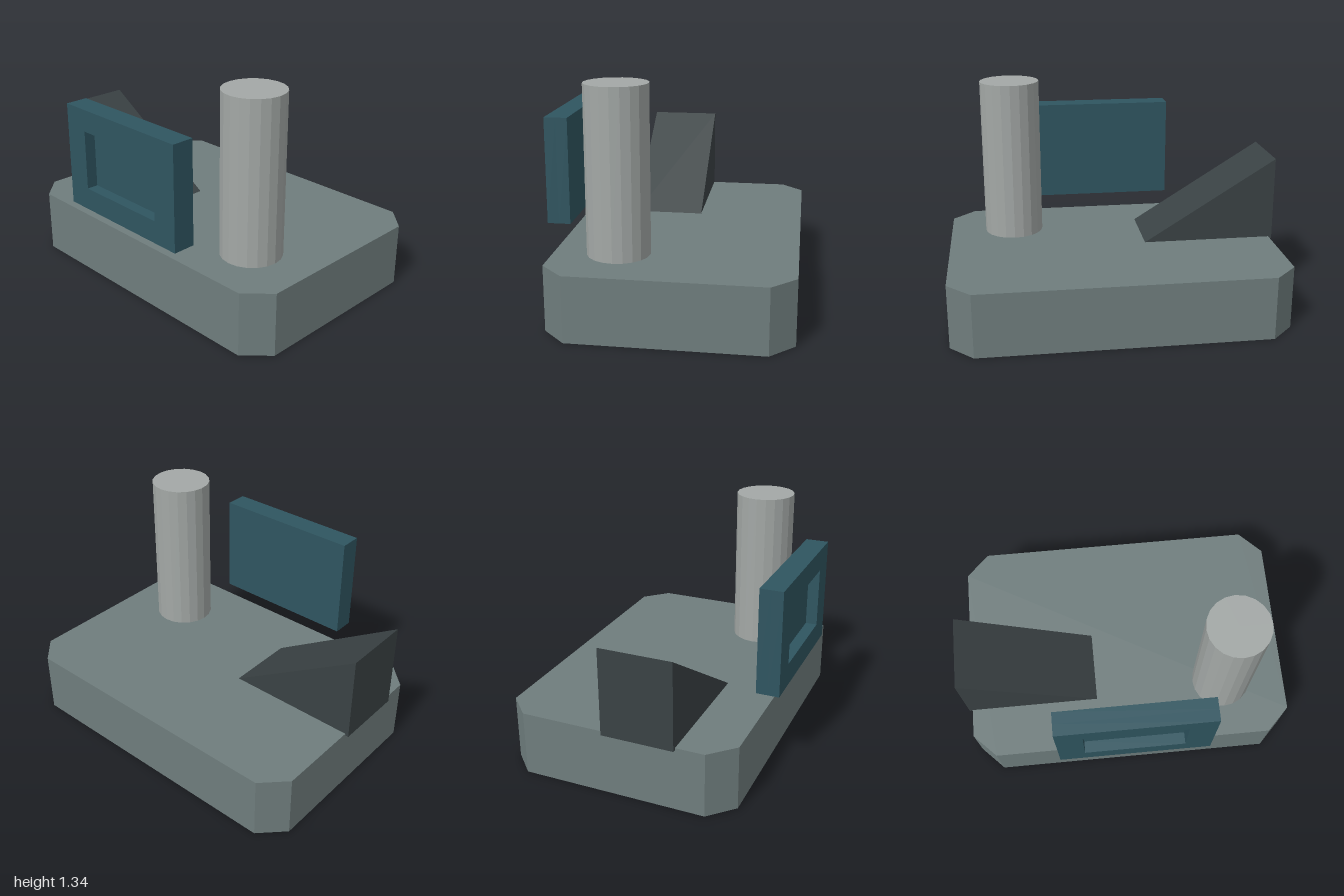
import * as THREE from 'three';

// Closed outline from [x, y] points
function outline(points, Type = THREE.Shape) {
  return new Type(points.map(([x, y]) => new THREE.Vector2(x, y)));
}

function rect(x0, y0, x1, y1) {
  return [[x0, y0], [x1, y0], [x1, y1], [x0, y1]];
}

function extrude(shape, depth) {
  return new THREE.ExtrudeGeometry(shape, { depth, bevelEnabled: false });
}

function part(name, geometry, color) {
  const material = new THREE.MeshStandardMaterial({ color, flatShading: true });
  const mesh = new THREE.Mesh(geometry, material);
  mesh.name = name;
  return mesh;
}

export function createModel() {
  const model = new THREE.Group();
  model.name = 'model';

  // Base slab with chamfered corners, drawn in plan (y = -z) and stood up
  const x0 = -0.98, x1 = 0.995, y0 = -0.64, y1 = 0.725, c = 0.137;
  const plan = outline([
    [x0 + c, y0], [x1 - c, y0], [x1, y0 + c], [x1, y1 - c],
    [x1 - c, y1], [x0 + c, y1], [x0, y1 - c], [x0, y0 + c],
  ]);
  model.add(part('base', extrude(plan, 0.38).rotateX(-Math.PI / 2), 0x6f7d7d));

  // Upright column
  const column = part('column', new THREE.CylinderGeometry(0.18, 0.18, 0.965, 20), 0xa3a8a6);
  column.position.set(0.6, 0.8575, 0.275);
  model.add(column);

  // Wedge ramp, overhanging the base edge slightly
  const profile = outline([[-1, 0.368], [-0.175, 0.368], [-1, 0.884]]);
  const wedge = part('wedge', extrude(profile, 0.425), 0x3a4244);
  wedge.position.z = -0.09;
  model.add(wedge);

  // Floating panel: solid back plate plus a frame around the recess
  const panel = new THREE.Group();
  panel.name = 'panel';
  const outer = rect(-0.445, 0.49, 0.465, 1.112);
  const opening = rect(-0.29, 0.625, 0.305, 0.98);
  const frameShape = outline(outer);
  frameShape.holes.push(outline(opening, THREE.Path));
  const back = part('panelBack', extrude(outline(outer), 0.067), 0x2f5560);
  back.position.z = 0.59;
  const frame = part('panelFrame', extrude(frameShape, 0.068), 0x2f5560);
  frame.position.z = 0.657;
  panel.add(back, frame);
  model.add(panel);

  return model;
}
